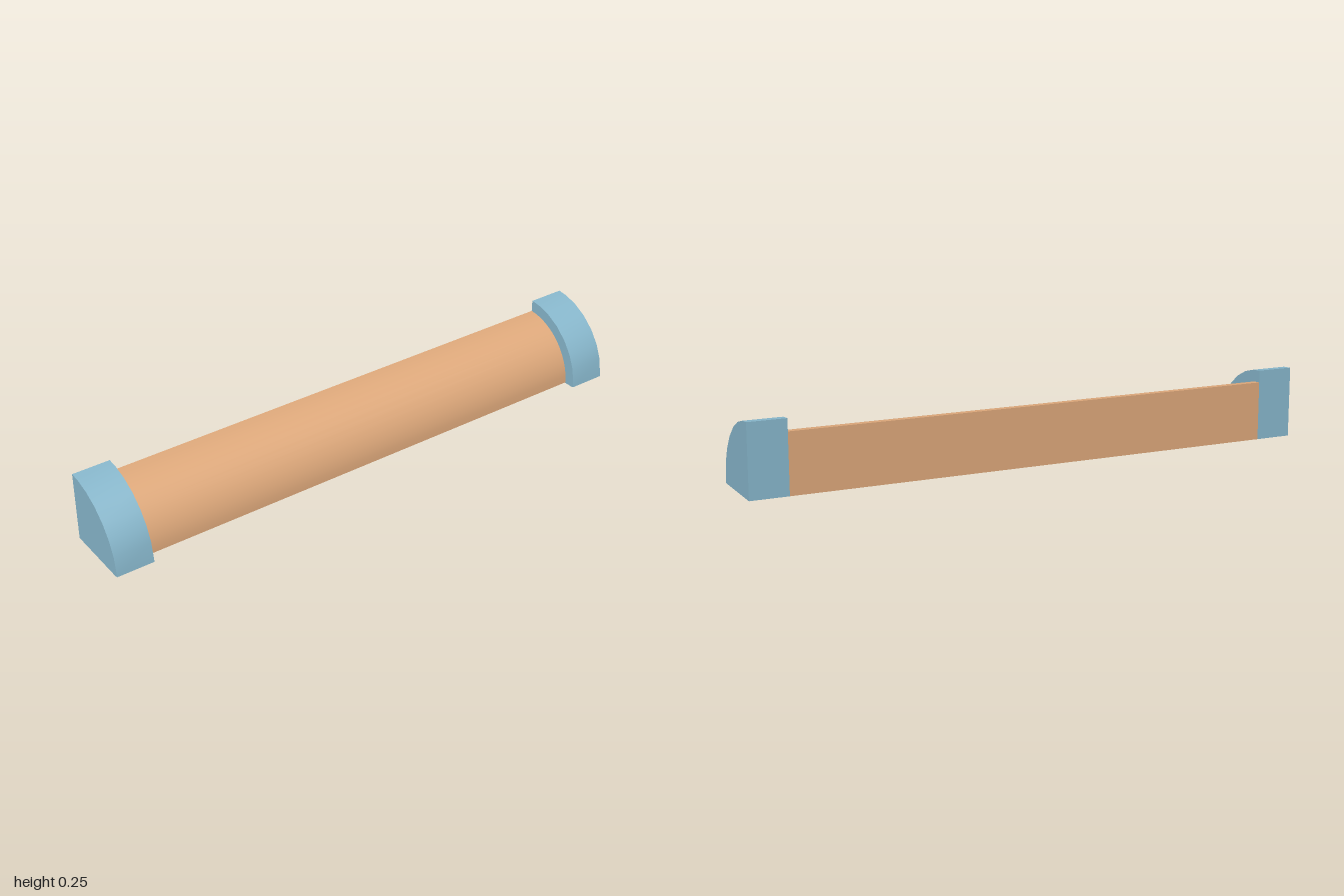
import * as THREE from 'three';
import { toCreasedNormals } from 'three/addons/utils/BufferGeometryUtils.js';

const BACK = -0.123; // flat back plane shared by all parts

// Quarter-round bar along x: flat back and underside, smooth curved front
function quarterRound(radius, length, angles) {
  const shape = new THREE.Shape();
  shape.moveTo(BACK, 0);
  shape.lineTo(BACK + radius * 0.96, 0);
  for (const degrees of angles) {
    const a = THREE.MathUtils.degToRad(degrees);
    shape.lineTo(BACK + radius * Math.cos(a), radius * Math.sin(a));
  }
  shape.closePath();
  const geometry = new THREE.ExtrudeGeometry(shape, { depth: length, bevelEnabled: false });
  geometry.translate(0, 0, -length / 2);
  geometry.rotateY(-Math.PI / 2);
  return toCreasedNormals(geometry, 0.5);
}

export function createModel() {
  const model = new THREE.Group();
  model.name = 'quarterRoundBar';

  const tan = new THREE.MeshStandardMaterial({ color: 0xe0aa7c });
  tan.name = 'warm tan';
  const blue = new THREE.MeshStandardMaterial({ color: 0x89b9ce });
  blue.name = 'soft blue';

  // Long central bar
  const barAngles = Array.from({ length: 13 }, (_, i) => 0.7 + (i * 89.3) / 12);
  const bar = new THREE.Mesh(quarterRound(0.206, 1.738, barAngles), tan);
  bar.name = 'bar';
  model.add(bar);

  // Larger end caps
  const capGeometry = quarterRound(0.248, 0.131, [0.7, 17, 29.7, 42.6, 56.2, 69, 81, 90]);
  for (const side of [-1, 1]) {
    const cap = new THREE.Mesh(capGeometry, blue);
    cap.name = side > 0 ? 'leftEndCap' : 'rightEndCap';
    cap.position.x = side * 0.9345;
    model.add(cap);
  }
  return model;
}
